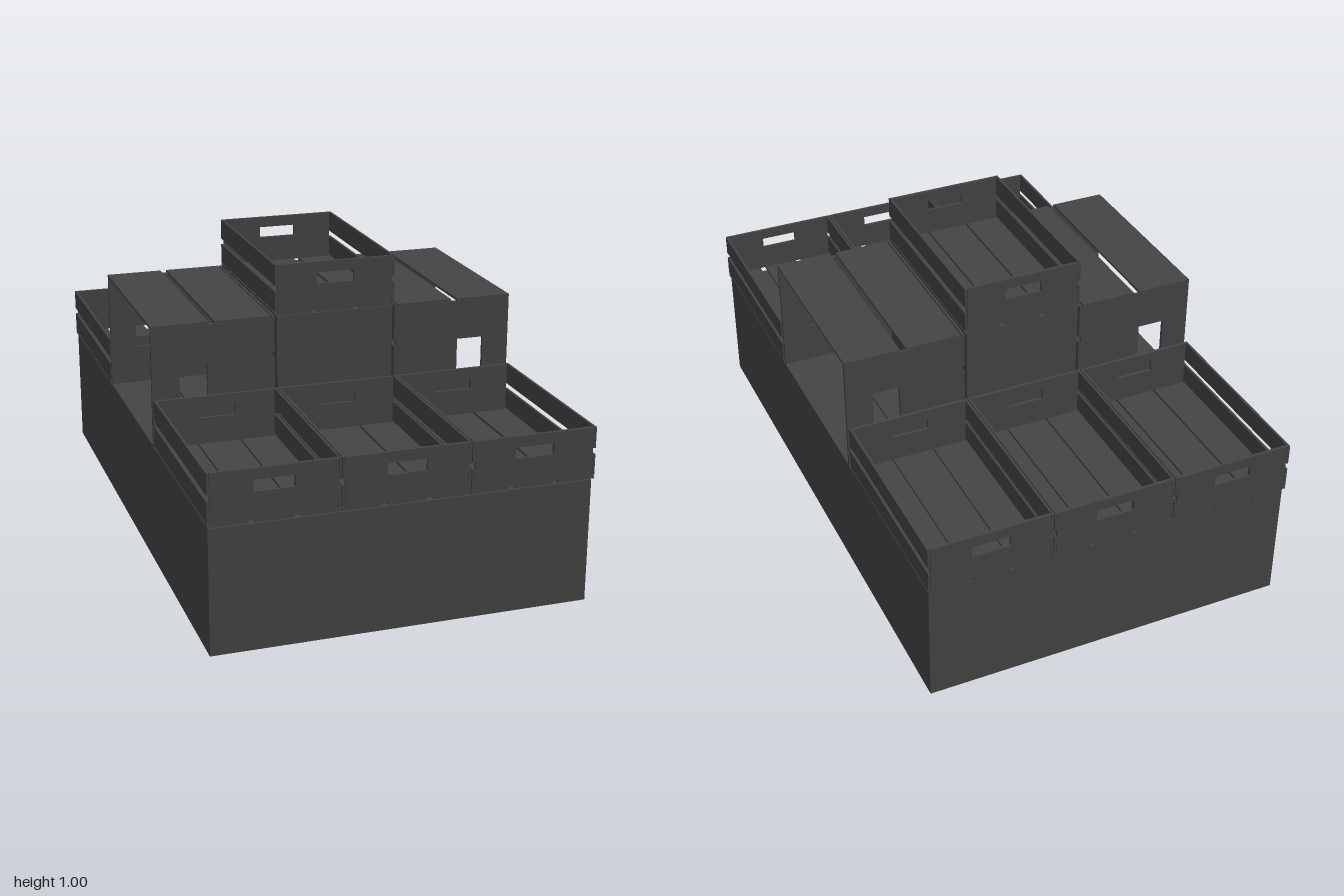
import * as THREE from 'three';

const material = new THREE.MeshStandardMaterial({ color: 0x444444 });
const W = 0.412, L = 0.656, T = 0.008; // crate width, length, board thickness
const GAP = 0.021;

function board(name, w, h, d, x, y, z) {
  const mesh = new THREE.Mesh(new THREE.BoxGeometry(w, h, d), material);
  mesh.name = name;
  mesh.position.set(x, y, z);
  return mesh;
}

function rectangle(target, x, y0, y1) {
  target.moveTo(-x, y0);
  target.lineTo(x, y0);
  target.lineTo(x, y1);
  target.lineTo(-x, y1);
  target.closePath();
  return target;
}

// Open crate standing on y = 0, with its long side along z
function crate(name, height, holeBottom, holeTop) {
  const group = new THREE.Group();
  group.name = name;

  // Three floor slats
  const floorWidth = (W - 2 * GAP) / 3;
  for (const i of [-1, 0, 1]) {
    group.add(board('floorSlat', floorWidth, T, L, i * (floorWidth + GAP), T / 2, 0));
  }

  // Two slats on each long side
  const start = 0.012;
  const slatHeight = (height - start - GAP) / 2;
  for (const side of [-1, 1]) {
    for (const i of [0, 1]) {
      const y = start + slatHeight / 2 + i * (slatHeight + GAP);
      group.add(board('sideSlat', T, slatHeight, L, side * (W - T) / 2, y, 0));
    }
  }

  // End boards with a hand hole
  const shape = rectangle(new THREE.Shape(), W / 2 - T - 0.001, T, height);
  shape.holes.push(rectangle(new THREE.Path(), 0.064, holeBottom, holeTop));
  const geometry = new THREE.ExtrudeGeometry(shape, { depth: 0.011, bevelEnabled: false });
  geometry.translate(0, 0, -0.0055);
  for (const end of [-1, 1]) {
    const mesh = new THREE.Mesh(geometry, material);
    mesh.name = 'endBoard';
    mesh.position.z = end * (L / 2 - 0.0055);
    group.add(mesh);
  }
  return group;
}

const shallowCrate = (name) => crate(name, 0.17, 0.096, 0.134);

export function createModel() {
  const model = new THREE.Group();
  model.name = 'crateDisplay';

  // Solid plinth
  model.add(board('plinth', 1.234, 0.412, 1.98, 0, 0.206, 0));

  // Front and back rows of shallow crates
  for (const row of [-1, 1]) {
    for (const column of [-1, 0, 1]) {
      const c = shallowCrate(row > 0 ? 'frontCrate' : 'backCrate');
      c.position.set(column * 0.415, 0.42, row * 0.672);
      model.add(c);
    }
  }

  // Deep crates lying on their sides, open outwards
  for (const side of [-1, 1]) {
    const c = crate('deepCrate', 0.413, 0.228, 0.321);
    c.rotation.z = -side * Math.PI / 2;
    c.position.set(side * 0.208, 0.42 + W / 2, 0);
    model.add(c);
  }

  // Central block carrying one raised crate
  model.add(board('centreBlock', 0.4, 0.408, L, 0, 0.624, 0));
  const top = shallowCrate('topCrate');
  top.position.y = 0.83;
  model.add(top);

  return model;
}
